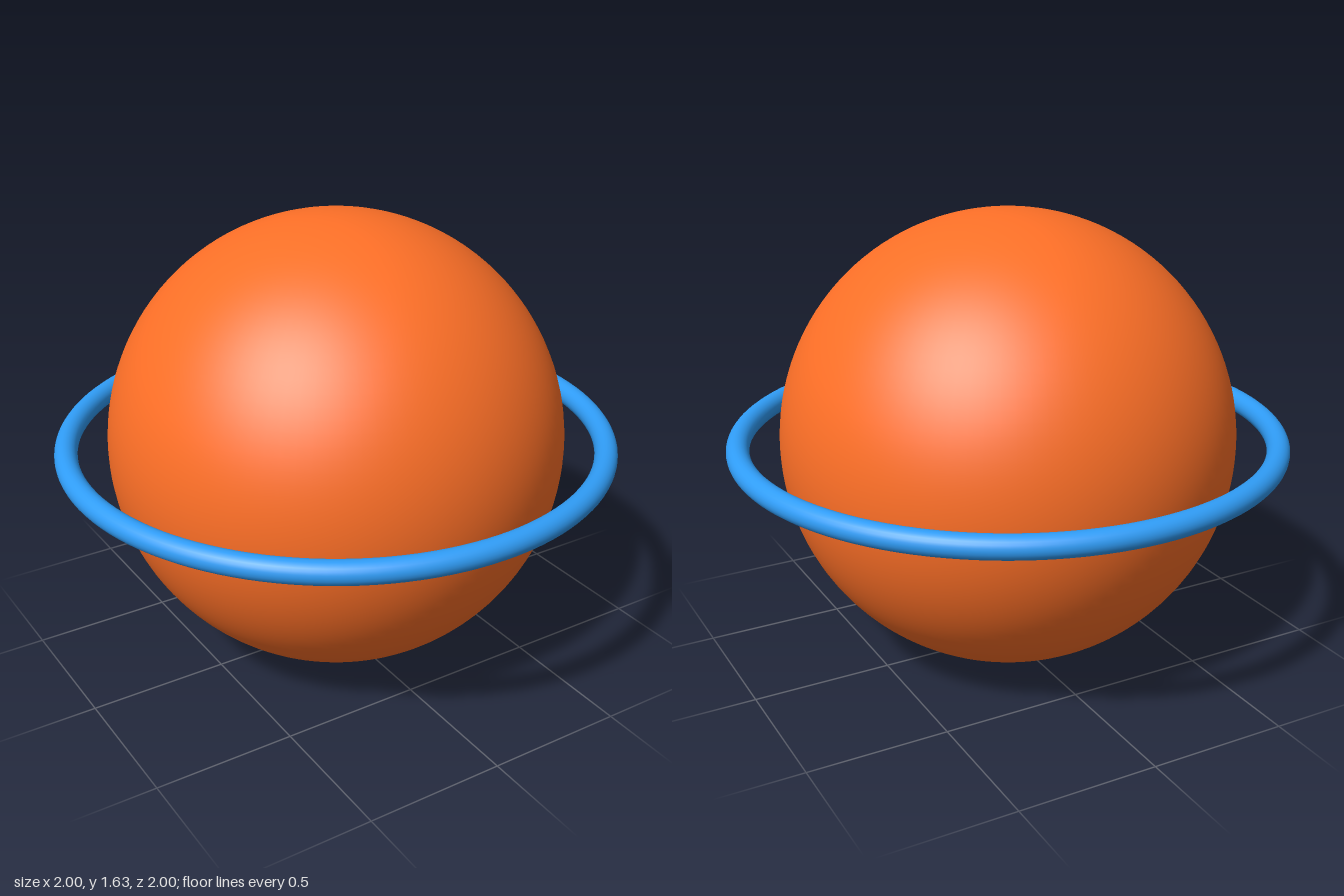
import * as THREE from 'three';

const R = 0.813;     // planet radius
const TUBE = 0.0405; // ring tube radius

function part(name, geometry, color) {
  const mesh = new THREE.Mesh(geometry, new THREE.MeshStandardMaterial({ color }));
  mesh.name = name;
  mesh.position.y = R;
  return mesh;
}

export function createModel() {
  const model = new THREE.Group();
  model.name = 'ringedPlanet';

  // Smooth globe resting on the ground
  model.add(part('planet', new THREE.SphereGeometry(R, 96, 64), 0xff7027));

  // Thin round ring floating level around the equator
  const ring = new THREE.TorusGeometry(1 - TUBE, TUBE, 24, 128).rotateX(Math.PI / 2);
  model.add(part('ring', ring, 0x309df7));

  return model;
}
